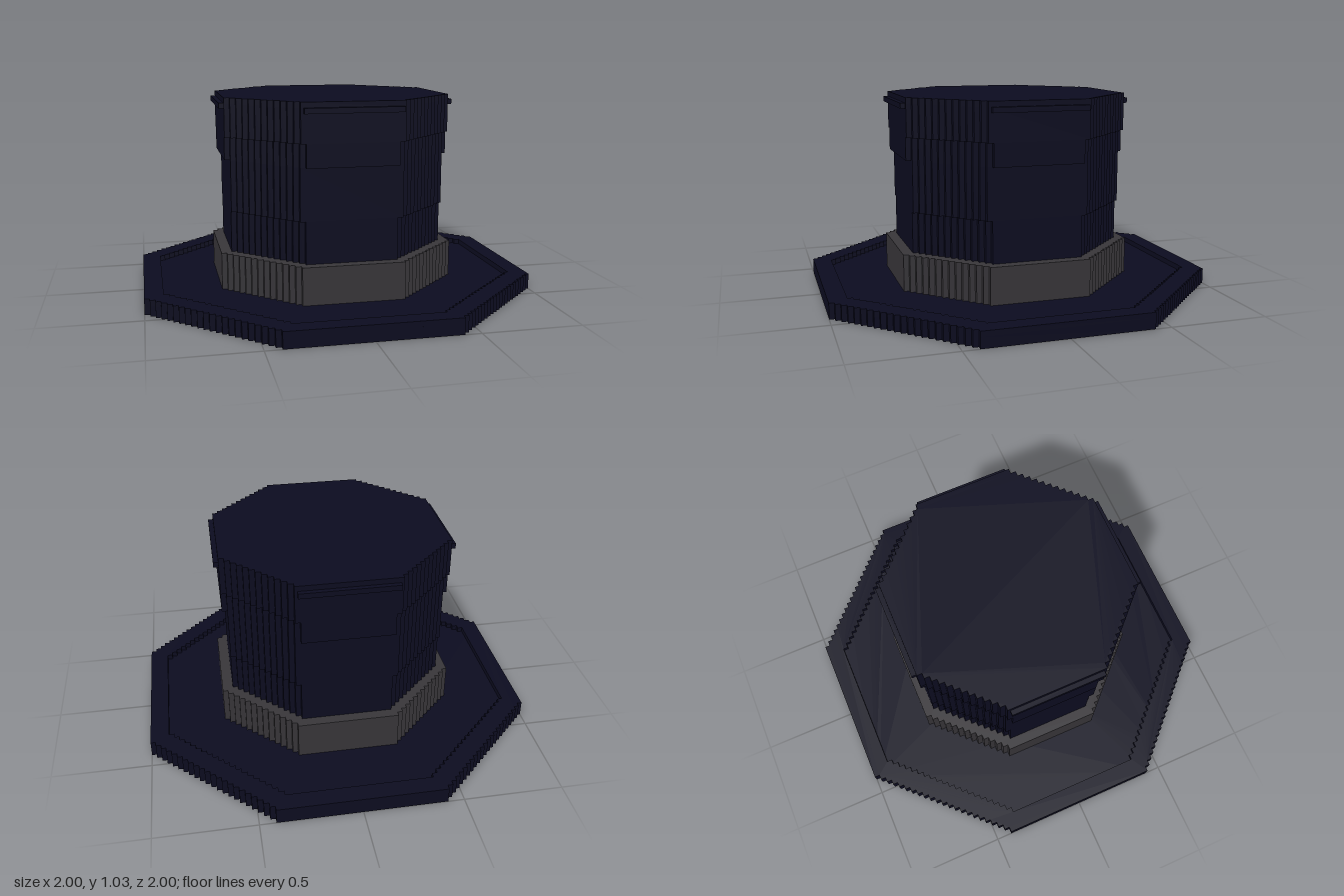
import * as THREE from 'three';

const U = 1 / 37; // size of one block

const navy = new THREE.MeshStandardMaterial({ color: 0x0c0c20 });
navy.name = 'navy felt';
const grey = new THREE.MeshStandardMaterial({ color: 0x38363a });
grey.name = 'grey ribbon';

// Octagon outline with block-stepped diagonals: half width h, half length of a straight side c
function octagon(h, c) {
  const n = Math.round(h - c);
  const s = (h - c) / n;
  const quarter = [[h, c]];
  for (let i = 0; i < n; i++) {
    quarter.push([h - (i + 1) * s, c + i * s], [h - (i + 1) * s, c + (i + 1) * s]);
  }
  const points = [];
  for (let q = 0; q < 4; q++) {
    for (const [px, py] of quarter) {
      let x = px, y = py;
      for (let k = 0; k < q; k++) [x, y] = [-y, x];
      points.push(new THREE.Vector2(x * U, y * U));
    }
  }
  return points;
}

// Upright octagonal slab from y0 to y1, with an optional octagonal hole
function layer(name, material, outer, hole, y0, y1) {
  const shape = new THREE.Shape(octagon(...outer));
  if (hole) shape.holes.push(new THREE.Path(octagon(...hole)));
  const geometry = new THREE.ExtrudeGeometry(shape, { depth: (y1 - y0) * U, bevelEnabled: false });
  geometry.rotateX(-Math.PI / 2);
  geometry.translate(0, y0 * U, 0);
  const mesh = new THREE.Mesh(geometry, material);
  mesh.name = name;
  return mesh;
}

// The same box on all four straight sides, its centre at radius r
function onFourSides(name, material, width, height, depth, r, y) {
  const group = new THREE.Group();
  group.name = name;
  const geometry = new THREE.BoxGeometry(width * U, height * U, depth * U);
  geometry.translate(0, y * U, r * U);
  for (let i = 0; i < 4; i++) {
    const mesh = new THREE.Mesh(geometry, material);
    mesh.name = name + 'Side';
    mesh.rotation.y = i * Math.PI / 2;
    group.add(mesh);
  }
  return group;
}

export function createModel() {
  const hat = new THREE.Group();
  hat.name = 'topHat';

  const opening = [19.5, 8.5];
  const cavity = [18.5, 9.5];

  // Brim with a slightly raised edge
  hat.add(layer('brim', navy, [37, 15.5], opening, 0, 2));
  hat.add(layer('brimEdge', navy, [37, 15.5], [33.5, 13.5], 2, 3));

  // Ribbon around the foot of the crown
  hat.add(layer('ribbon', grey, [22.5, 9.5], [20.5, 8.5], 2, 9));

  // Crown, flaring outwards in steps
  hat.add(layer('crownFoot', navy, [20.5, 8.5], opening, 2, 6));
  hat.add(layer('crownLower', navy, [20.5, 8.5], cavity, 6, 16.8));
  hat.add(layer('crownMiddle', navy, [20.5, 9.5], cavity, 16.8, 26.5));
  hat.add(layer('crownUpper', navy, [21.5, 8.5], cavity, 26.5, 30.8));
  hat.add(layer('crownRim', navy, [21.5, 9.5], cavity, 30.8, 37));
  hat.add(layer('crownTop', navy, [21.5, 9.5], null, 37, 38.1));

  // Thin lip below the top on the straight sides
  hat.add(onFourSides('crownLip', navy, 18, 1, 1.2, 21.8, 36.6));

  // Ribbon lining showing inside the opening
  hat.add(onFourSides('lining', grey, 17, 5.98, 0.2, 19.4, 3));

  return hat;
}
